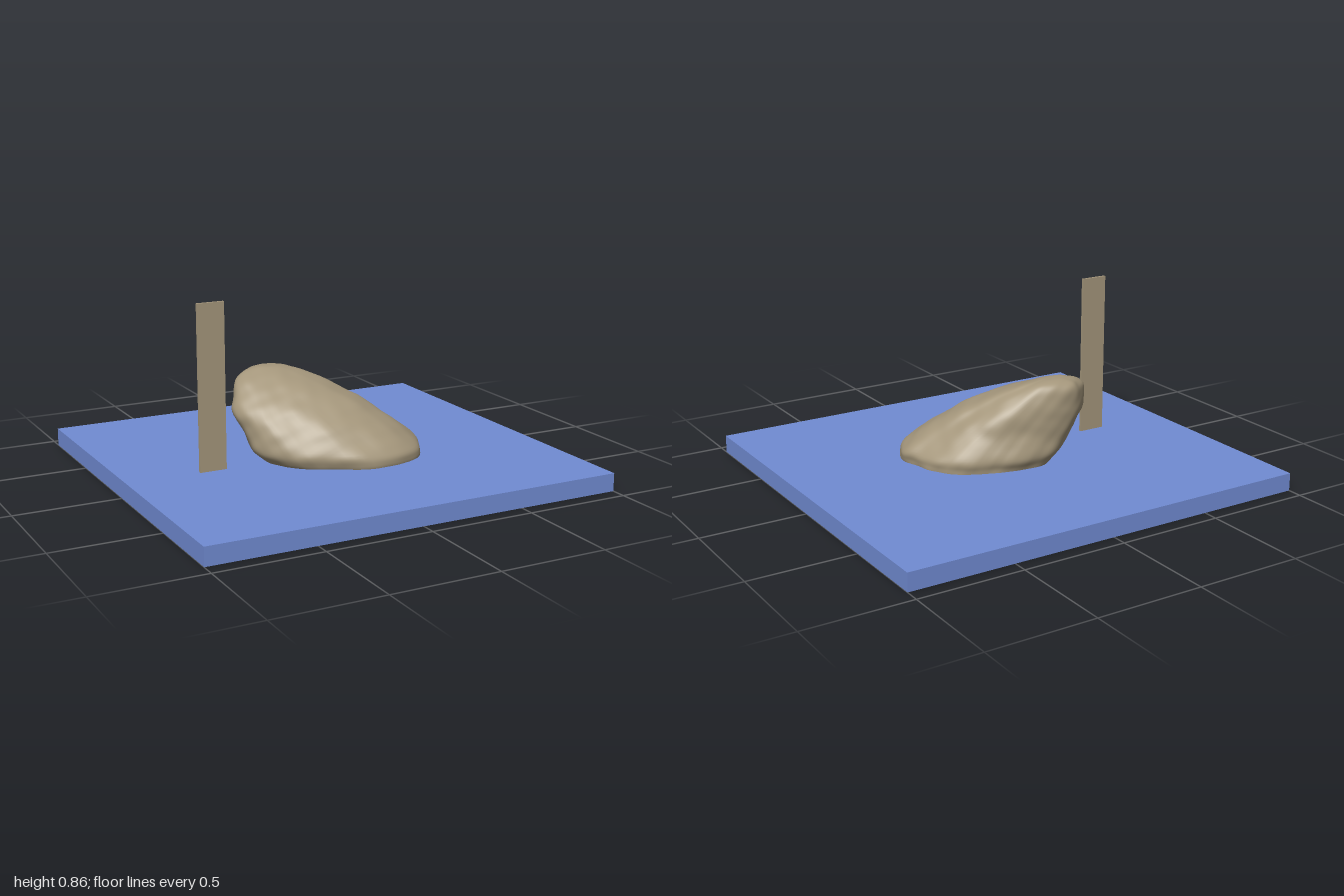
import * as THREE from 'three';

const blue = new THREE.MeshStandardMaterial({ color: 0x718cd4 });
blue.name = 'base blue';
const tan = new THREE.MeshStandardMaterial({ color: 0xa5977c });
tan.name = 'stone tan';

function box(name, material, size, position) {
  const mesh = new THREE.Mesh(new THREE.BoxGeometry(...size), material);
  mesh.name = name;
  mesh.position.set(...position);
  return mesh;
}

// Widest outline of the boulder seen from above: x, z
const OUTLINE = [
  [-0.42, 0.03], [-0.38, -0.1], [-0.3, -0.18], [-0.2, -0.265], [-0.1, -0.28], [0.05, -0.26],
  [0.17, -0.22], [0.3, -0.15], [0.37, -0.05], [0.4, 0.05], [0.43, 0.13], [0.41, 0.21],
  [0.35, 0.29], [0.28, 0.345], [0.15, 0.375], [-0.03, 0.36], [-0.2, 0.28], [-0.31, 0.22], [-0.39, 0.13],
];

// Extents of the boulder at each height: y, left x, right x, back z, front z
const LAYERS = [
  [0.07, -0.29, 0.425, -0.24, 0.37],
  [0.1, -0.33, 0.43, -0.25, 0.377],
  [0.14, -0.37, 0.425, -0.268, 0.37],
  [0.2, -0.39, 0.36, -0.265, 0.315],
  [0.25, -0.405, 0.3, -0.265, 0.265],
  [0.3, -0.42, 0.24, -0.27, 0.2],
  [0.35, -0.41, 0.165, -0.274, 0.135],
  [0.4, -0.385, 0.075, -0.274, 0.05],
  [0.44, -0.355, -0.01, -0.268, -0.04],
  [0.465, -0.315, -0.07, -0.25, -0.1],
  [0.479, -0.255, -0.13, -0.22, -0.14],
  [0.482, -0.2, -0.18, -0.185, -0.17],
];

// Small lumps, stretched sideways like worn strata
function lump(x, y, z) {
  return 0.004 * Math.sin(17 * x + 9 * y + 3) * Math.sin(19 * z - 21 * y)
    + 0.003 * Math.sin(31 * y + 14 * z + 9 * x) * Math.cos(27 * x - 23 * z)
    + 0.0018 * Math.sin(66 * y + 24 * x) * Math.sin(47 * z + 38 * x);
}

function boulder() {
  const around = 96, rows = 55;
  const outline = new THREE.CatmullRomCurve3(
    OUTLINE.map(([x, z]) => new THREE.Vector3((x + 0.42) / 0.85, 0, (z + 0.28) / 0.655)), true);
  const spline = (pick) => new THREE.CatmullRomCurve3(
    LAYERS.map((l) => new THREE.Vector3(...pick(l))), false, 'catmullrom', 0.5);
  const sides = spline((l) => [l[1], l[0], l[2]]);
  const depths = spline((l) => [l[3], 0, l[4]]);

  const positions = [], indices = [];
  for (let j = 0; j <= rows; j++) {
    const s = sides.getPoint(j / rows), d = depths.getPoint(j / rows);
    const cx = (s.x + s.z) / 2, cz = (d.x + d.z) / 2;
    for (let i = 0; i < around; i++) {
      const p = outline.getPoint(i / around);
      const x = s.x + p.x * (s.z - s.x), z = d.x + p.z * (d.z - d.x);
      const n = lump(x, s.y, z);
      const reach = Math.hypot(x - cx, z - cz) + 0.03;
      positions.push(x + n * (x - cx) / reach, s.y + n * (j / rows) * 0.6, z + n * (z - cz) / reach);
      if (j < rows) {
        const a = j * around + i, b = j * around + (i + 1) % around;
        indices.push(a, a + around, b, b, a + around, b + around);
      }
    }
  }
  // Close the crown
  const tip = positions.length / 3;
  positions.push(-0.19, 0.483, -0.178);
  for (let i = 0; i < around; i++) {
    indices.push(rows * around + i, tip, rows * around + (i + 1) % around);
  }
  const geometry = new THREE.BufferGeometry();
  geometry.setAttribute('position', new THREE.Float32BufferAttribute(positions, 3));
  geometry.setIndex(indices);
  geometry.computeVertexNormals();
  const mesh = new THREE.Mesh(geometry, tan);
  mesh.name = 'boulder';
  return mesh;
}

export function createModel() {
  const group = new THREE.Group();
  group.name = 'boulder display';
  group.add(box('base', blue, [2, 0.085, 1.86], [0, 0.0425, 0]));
  group.add(box('post', tan, [0.13, 0.775, 0.013], [-0.585, 0.4725, 0.06]));
  group.add(boulder());
  return group;
}
